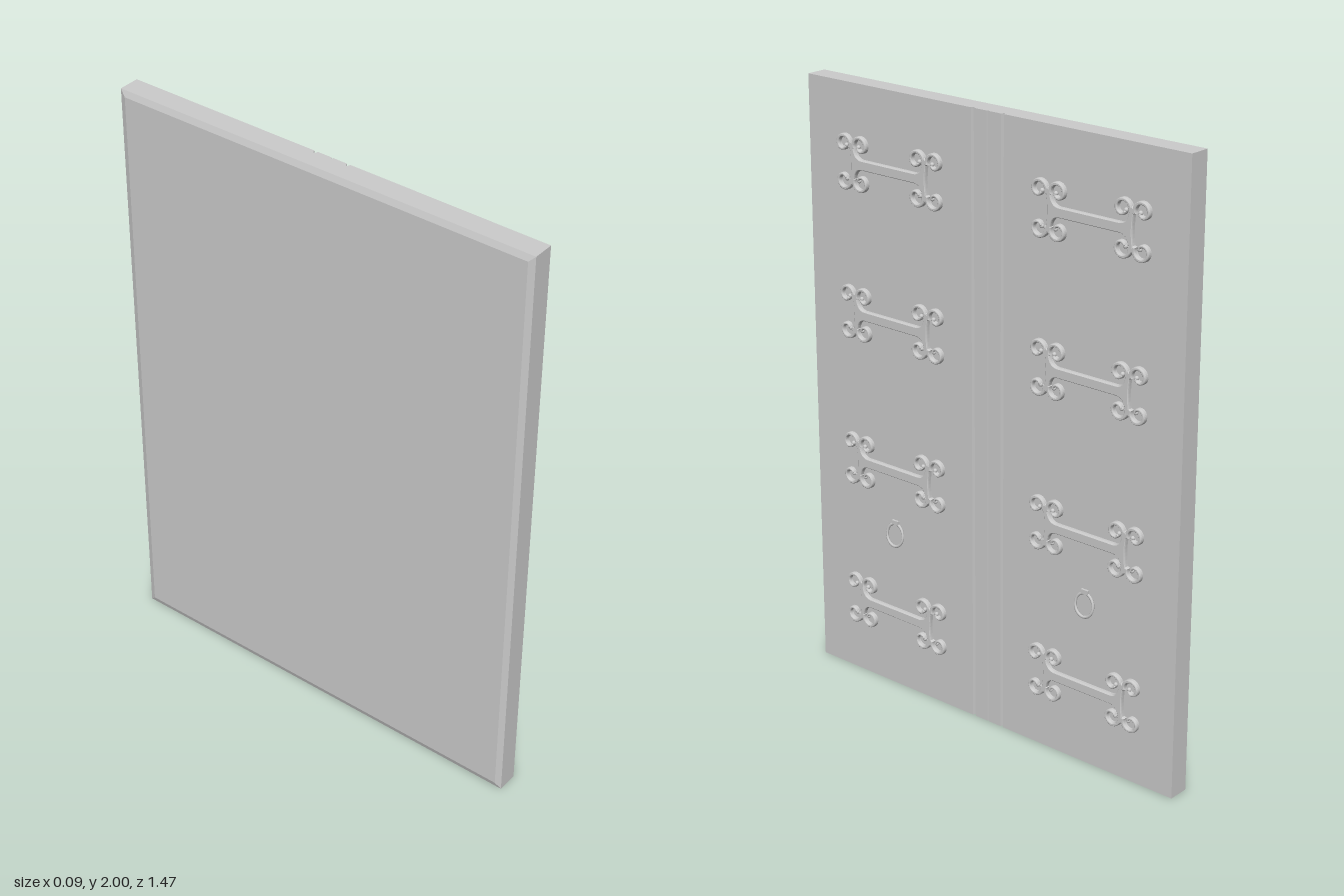
import * as THREE from 'three';

const mat = new THREE.MeshStandardMaterial({ color: 0xcccccc, side: THREE.DoubleSide });
const FACE = 0.03, BACK = -0.04, HALF = 0.735;

function add(parent, name, geometry) {
  const mesh = new THREE.Mesh(geometry, mat);
  mesh.name = name;
  parent.add(mesh);
  return mesh;
}

function relief(shape) {
  return new THREE.ExtrudeGeometry(shape, {
    depth: 0.009, bevelEnabled: true, bevelThickness: 0.006, bevelSize: 0.003,
    bevelOffset: -0.003, bevelSegments: 2, curveSegments: 10,
  });
}

// Bar that flares into a forked stem at each end
function barShape() {
  const s = new THREE.Shape();
  s.moveTo(-0.11, -0.016);
  s.lineTo(0.11, -0.016);
  s.bezierCurveTo(0.135, -0.018, 0.14, -0.035, 0.144, -0.062);
  s.lineTo(0.152, -0.07);
  s.lineTo(0.161, -0.062);
  s.quadraticCurveTo(0.147, 0, 0.161, 0.062);
  s.lineTo(0.152, 0.07);
  s.lineTo(0.144, 0.062);
  s.bezierCurveTo(0.14, 0.035, 0.135, 0.018, 0.11, 0.016);
  s.lineTo(-0.11, 0.016);
  s.bezierCurveTo(-0.135, 0.018, -0.14, 0.035, -0.144, 0.062);
  s.lineTo(-0.152, 0.07);
  s.lineTo(-0.161, 0.062);
  s.quadraticCurveTo(-0.147, 0, -0.161, -0.062);
  s.lineTo(-0.152, -0.07);
  s.lineTo(-0.144, -0.062);
  s.bezierCurveTo(-0.14, -0.035, -0.135, -0.018, -0.11, -0.016);
  return s;
}

// Curled ribbon; su and sv choose the direction it curls
function scrollShape(cu, cv, su, sv) {
  const outer = [], inner = [], n = 36;
  for (let i = 0; i <= n; i++) {
    const t = i / n, a = Math.PI * (1.12 - 1.95 * t);
    const r = 0.034 - 0.019 * t * t, w = 0.012 - 0.003 * t;
    const at = (q) => new THREE.Vector2(cu + su * q * Math.cos(a), cv + sv * q * Math.sin(a));
    outer.push(at(r));
    inner.unshift(at(r - w));
  }
  return new THREE.Shape([...outer, ...inner]);
}

function ironStrap() {
  const strap = new THREE.Group();
  add(strap, 'strapBar', relief(barShape()));
  for (const end of [-1, 1]) for (const v of [-1, 1]) {
    add(strap, 'outerScroll', relief(scrollShape(end * 0.187, v * 0.057, end, v)));
    add(strap, 'innerScroll', relief(scrollShape(end * 0.118, v * 0.057, -end, v)));
    // Rounded tips of the curls
    for (const [cu, dir] of [[0.187, 1], [0.118, -1]]) {
      const tip = add(strap, 'scrollTip', new THREE.SphereGeometry(0.007, 12, 8));
      tip.position.set(end * (cu - dir * 0.009), v * 0.053, 0.006);
    }
  }
  strap.rotation.y = Math.PI / 2;
  return strap;
}

function ringPull() {
  const pull = new THREE.Group();
  const ring = add(pull, 'ring', new THREE.TorusGeometry(0.034, 0.0045, 8, 32));
  ring.scale.y = 1.12;
  ring.position.set(0, -0.002, 0.007);
  ring.rotation.x = -0.12;
  add(pull, 'ringMount', new THREE.BoxGeometry(0.026, 0.014, 0.012)).position.set(0, 0.041, 0.002);
  pull.rotation.y = Math.PI / 2;
  return pull;
}

export function createModel() {
  const model = new THREE.Group();
  model.name = 'doubleDoor';

  // Door slab with a centre seam and a groove on either side of it
  const outline = new THREE.Shape();
  outline.moveTo(BACK, -HALF);
  outline.lineTo(FACE, -HALF);
  for (const [c, w, d] of [[-0.058, 0.006, 0.009], [0, 0.003, 0.006], [0.058, 0.006, 0.009]]) {
    outline.lineTo(FACE, c - w);
    outline.lineTo(FACE - d, c - w / 2);
    outline.lineTo(FACE - d, c + w / 2);
    outline.lineTo(FACE, c + w);
  }
  outline.lineTo(FACE, HALF);
  outline.lineTo(BACK, HALF);
  const slab = new THREE.ExtrudeGeometry(outline, { depth: 2, bevelEnabled: false });
  slab.rotateX(-Math.PI / 2);
  add(model, 'doorSlab', slab);

  // Back panel with chamfered edges
  const back = new THREE.BoxGeometry(0.007, 2, 2 * HALF);
  const p = back.attributes.position;
  for (let i = 0; i < p.count; i++) {
    if (p.getX(i) < 0) {
      p.setY(i, Math.sign(p.getY(i)) * 0.98);
      p.setZ(i, Math.sign(p.getZ(i)) * (HALF - 0.02));
    }
  }
  back.computeVertexNormals();
  add(model, 'backPanel', back).position.set(BACK - 0.0035, 1, 0);

  // Iron straps and ring pulls on both leaves
  for (const side of [-1, 1]) {
    for (const y of [0.262, 0.762, 1.262, 1.75]) {
      const strap = ironStrap();
      strap.name = 'ironStrap';
      strap.position.set(FACE, y, side * 0.392);
      model.add(strap);
    }
    const pull = ringPull();
    pull.name = 'ringPull';
    pull.position.set(FACE, 0.543, side * 0.392);
    model.add(pull);
  }
  return model;
}
